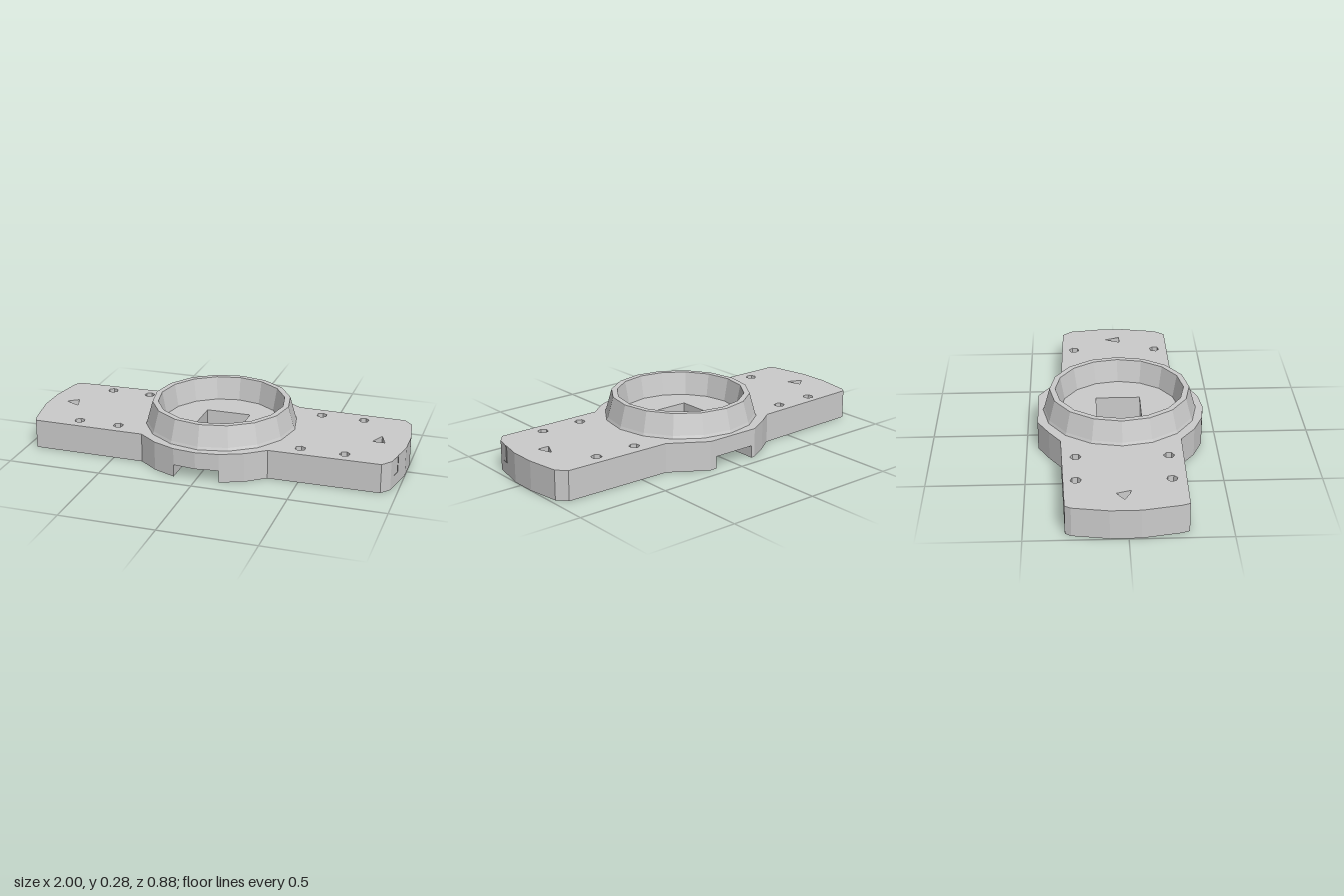
import * as THREE from 'three';

const grey = new THREE.MeshStandardMaterial({ color: 0xcccccc, flatShading: true, side: THREE.DoubleSide });
const TOP = 0.155, SLOT = 0.065, CUT = 0.12;

// plan outlines as [x, z], each running from the front of the slot round to the back
const rightEnd = [[CUT, 0.42], [0.24, 0.37], [0.34, 0.295], [0.92, 0.29], [0.96, 0.24], [1, 0.05],
  [1, -0.09], [0.975, -0.26], [0.93, -0.31], [0.35, -0.32], [0.16, -0.44], [CUT, -0.44]];
const leftEnd = [[-CUT, 0.42], [-0.24, 0.37], [-0.34, 0.295], [-0.945, 0.29], [-0.96, 0.25], [-0.995, 0.06],
  [-0.995, -0.09], [-0.965, -0.27], [-0.945, -0.3], [-0.34, -0.32], [-0.25, -0.38], [-0.14, -0.44], [-CUT, -0.44]];

// holes in plan
const squareHole = [[-CUT, -0.13], [CUT, -0.13], [CUT, 0.105], [-CUT, 0.105]];
const throughHole = [[-0.9, -0.015], [-0.845, -0.055], [-0.82, 0.02], [-0.85, 0.01]];
const notch = [[0.855, -0.06], [0.98, 0.16], [0.885, 0.02], [0.82, 0.02]];

function pinHole(x, z) {
  return Array.from({ length: 6 }, (_, i) => {
    const a = i * Math.PI / 3 + x;
    return [x + 0.028 * Math.cos(a), z + 0.028 * Math.sin(a)];
  });
}

// flat slab extruded upward from a plan outline
function slab(name, outline, holes, y0, y1) {
  const toPlan = pts => pts.map(([x, z]) => new THREE.Vector2(x, -z));
  const shape = new THREE.Shape(toPlan(outline));
  shape.holes = holes.map(h => new THREE.Path(toPlan(h)));
  const geo = new THREE.ExtrudeGeometry(shape, { depth: y1 - y0, bevelEnabled: false });
  geo.rotateX(-Math.PI / 2).translate(0, y0, 0);
  const mesh = new THREE.Mesh(geo, grey);
  mesh.name = name;
  return mesh;
}

export function createModel() {
  const group = new THREE.Group();
  group.name = 'mountingPlate';

  // upper plate with the square opening, pin holes and end holes
  const pins = [];
  for (const x of [-0.72, -0.5, 0.49, 0.72]) for (const z of [-0.245, 0.22]) pins.push(pinHole(x, z));
  const outline = [...rightEnd, ...[...leftEnd].reverse(), [0, 0.435]];
  group.add(slab('upperPlate', outline, [squareHole, throughHole, notch, ...pins], SLOT, TOP));

  // lower halves leave a slot across the underside
  group.add(slab('lowerPlateLeft', rightEnd, [], 0, SLOT));
  group.add(slab('lowerPlateRight', leftEnd, [throughHole], 0, SLOT));

  // raised tapered collar
  const profile = [[0.405, TOP - 0.01], [0.395, 0.17], [0.365, 0.278], [0.335, 0.278], [0.31, TOP - 0.01]]
    .map(([r, y]) => new THREE.Vector2(r, y));
  const collar = new THREE.Mesh(new THREE.LatheGeometry(profile, 16), grey);
  collar.name = 'collar';
  collar.scale.z = 1.01;
  collar.position.z = -0.008;
  group.add(collar);

  return group;
}
